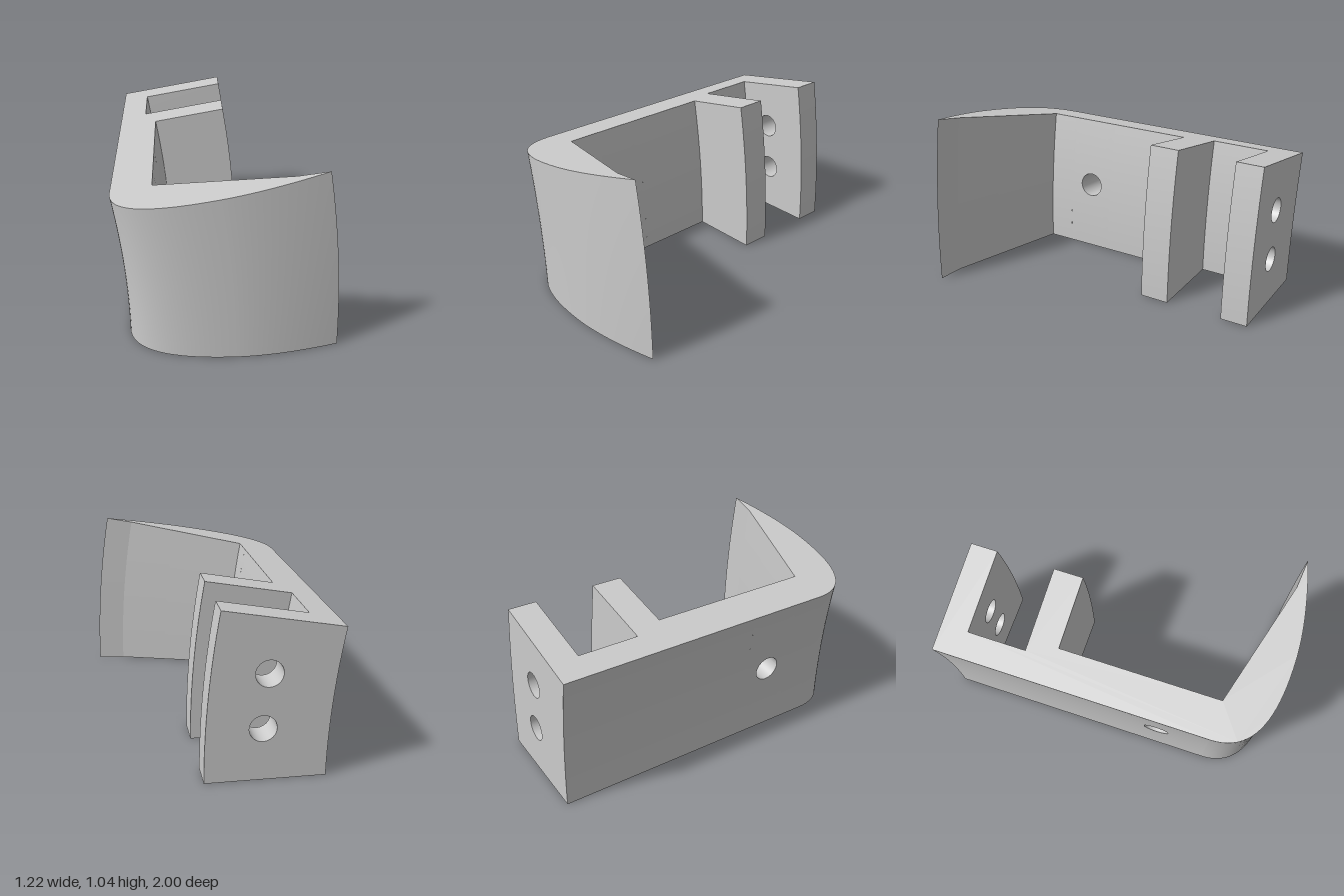
import * as THREE from 'three';

// The bracket is a flat hook outline swept 10 degrees round an axis parallel to z.
const AXIS_X = -5.4;
const SWEEP = THREE.MathUtils.degToRad(10);
const SEG = 24;
const bend = (x, z, a) => {
  const r = x - AXIS_X;
  return new THREE.Vector3(AXIS_X + r * Math.cos(a), r * Math.sin(a), z);
};

// Plan sizes: wall faces, slot floor, arm tips (x), and the arm faces (z)
const OUT = -0.54, IN = -0.31, SLOT = -0.38, ARM = 0.125;
const BACK = -1, ARM1 = -0.835, ARM2 = -0.48, ARM3 = -0.3;
const CORNER = 0.675, HOLE_Z = 0.355, HOLE_R = 0.077, PANEL = 0.155;
const PIN_R = 0.075, PIN_X = -0.18, PIN_ANGLES = [SWEEP * 0.33, SWEEP * 0.67];

// Smooth surface from a rule (u, v) -> point
function surface(nu, nv, rule) {
  const g = new THREE.PlaneGeometry(1, 1, nu, nv);
  const uv = g.attributes.uv, pos = g.attributes.position;
  for (let i = 0; i < pos.count; i++) {
    const p = rule(uv.getX(i), uv.getY(i));
    pos.setXYZ(i, p.x, p.y, p.z);
  }
  g.computeVertexNormals();
  return g;
}

// Side face swept from a run of plan points [x, z]
function strip(path) {
  const n = path.length - 1;
  return surface(n, SEG, (u, v) => {
    const [x, z] = path[Math.round(u * n)];
    return bend(x, z, v * SWEEP);
  });
}

// Point on the screw hole's rim, at wall position x
function rim(x, phi) {
  const a = SWEEP / 2 + Math.asin((HOLE_R * Math.sin(phi)) / (x - AXIS_X));
  return { a, z: HOLE_Z + HOLE_R * Math.cos(phi) };
}

// Patch of curved wall between the screw hole and a rectangle
function holePanel(x, flip) {
  return surface(48, 6, (u, v) => {
    const phi = (flip ? 1 - u : u) * Math.PI * 2;
    const c = Math.cos(phi), s = Math.sin(phi), m = Math.max(Math.abs(c), Math.abs(s));
    const r = rim(x, phi);
    const z = THREE.MathUtils.lerp(r.z, HOLE_Z + (PANEL * c) / m, v);
    const a = THREE.MathUtils.lerp(r.a, (SWEEP / 2) * (1 + s / m), v);
    return bend(x, z, a);
  });
}

// Flat face of the rear arm with its two pin holes
function pinnedFace(x0, x1, z) {
  const s = new THREE.Shape();
  s.absarc(AXIS_X, 0, x1 - AXIS_X, 0, SWEEP, false);
  s.absarc(AXIS_X, 0, x0 - AXIS_X, SWEEP, 0, true);
  for (const a of PIN_ANGLES) {
    const c = bend(PIN_X, 0, a);
    s.holes.push(new THREE.Path().absarc(c.x, c.y, PIN_R, 0, Math.PI * 2, true));
  }
  return new THREE.ShapeGeometry(s, SEG).translate(0, 0, z);
}

// End cap: the whole outline laid on one end of the sweep
function cap(points, angle) {
  const shape = new THREE.Shape(points.map(([x, z]) => new THREE.Vector2(x, z)));
  const g = new THREE.ShapeGeometry(shape);
  const pos = g.attributes.position;
  for (let i = 0; i < pos.count; i++) {
    const p = bend(pos.getX(i), pos.getY(i), angle);
    pos.setXYZ(i, p.x, p.y, p.z);
  }
  g.computeVertexNormals();
  return g;
}

export function createModel() {
  const group = new THREE.Group();
  const material = new THREE.MeshStandardMaterial({ color: 0xcccccc, side: THREE.DoubleSide });
  const add = (name, geometry) => {
    const mesh = new THREE.Mesh(geometry, material);
    mesh.name = name;
    group.add(mesh);
  };

  // Rounded outside of the hook, from the wall to the tip
  const V = (x, z) => new THREE.Vector2(x, z);
  const bow = new THREE.CurvePath();
  bow.add(new THREE.CubicBezierCurve(V(OUT, CORNER), V(OUT, 0.9), V(-0.35, 1), V(0.04, 1)));
  bow.add(new THREE.QuadraticBezierCurve(V(0.04, 1), V(0.28, 1), V(0.61, 0.905)));
  const hookOuter = bow.getPoints(20).map((p) => [p.x, p.y]);
  const hookInner = [[0.61, 0.905], [0.44, 0.888], [0.14, 0.803], [IN, CORNER]];
  const arms = [
    [IN, ARM3], [ARM, ARM3], [ARM, ARM2], [SLOT, ARM2],
    [SLOT, ARM1], [ARM, ARM1], [ARM, BACK], [OUT, BACK],
  ];

  add('hookOuterFace', strip(hookOuter));
  for (let i = 0; i < 3; i++) add('hookInnerFace', strip([hookInner[i], hookInner[i + 1]]));

  // Wall faces either side of the screw hole
  const near = HOLE_Z - PANEL, far = HOLE_Z + PANEL;
  add('wallOuterFace', strip([[OUT, BACK], [OUT, near]]));
  add('wallOuterFace', strip([[OUT, far], [OUT, CORNER]]));
  add('wallInnerFace', strip([[IN, CORNER], [IN, far]]));
  add('wallInnerFace', strip([[IN, near], [IN, ARM3]]));
  add('wallOuterHolePanel', holePanel(OUT, true));
  add('wallInnerHolePanel', holePanel(IN, false));

  // Bore of the screw hole, square to the middle of the wall
  add('screwHoleBore', surface(48, 1, (u, v) => {
    const x = v < 0.5 ? OUT : IN;
    const r = rim(x, u * Math.PI * 2);
    return bend(x, r.z, r.a);
  }));

  // Plain faces of the two arms and the slot between them
  for (const i of [0, 1, 2, 3, 5]) add(i === 3 ? 'slotFloor' : 'armFace', strip([arms[i], arms[i + 1]]));

  // Rear arm faces and pin bores
  add('rearArmBackFace', pinnedFace(OUT, ARM, BACK));
  add('rearArmFrontFace', pinnedFace(SLOT, ARM, ARM1));
  for (const a of PIN_ANGLES) {
    const c = bend(PIN_X, (BACK + ARM1) / 2, a);
    const bore = new THREE.CylinderGeometry(PIN_R, PIN_R, ARM1 - BACK, 48, 1, true);
    add('pinHoleBore', bore.rotateX(Math.PI / 2).translate(c.x, c.y, c.z));
  }

  // Underside and sloping top
  const outline = [...hookOuter, ...hookInner.slice(1), ...arms];
  add('underside', cap(outline, 0));
  add('topFace', cap(outline, SWEEP));
  return group;
}
